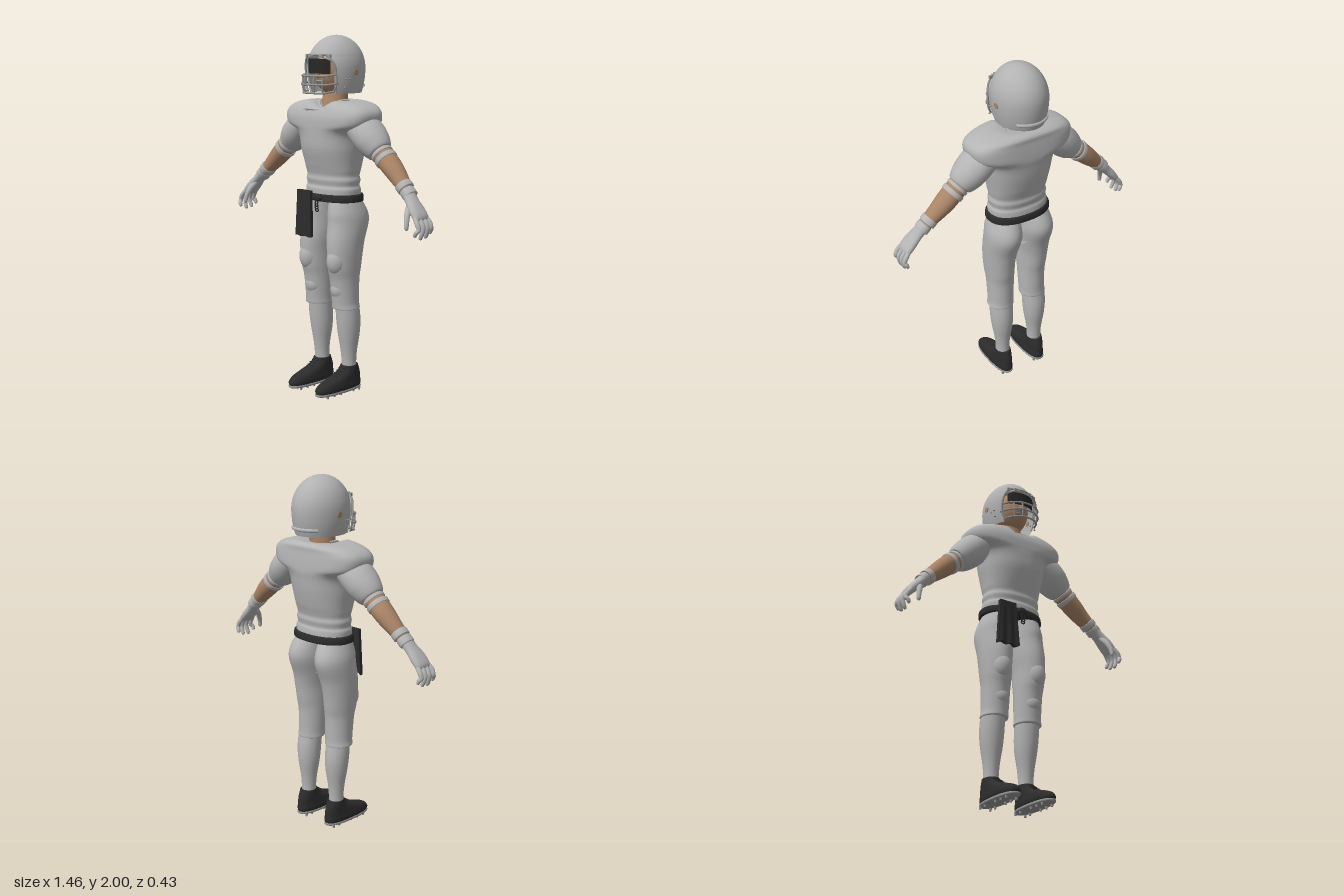
import * as THREE from 'three';

const mat = (name, color, side = THREE.FrontSide) => {
  const m = new THREE.MeshStandardMaterial({ color, side });
  m.name = name;
  return m;
};

// Sections are [x, y, z, radiusA, radiusZ, roundness]; rings face the direction dir, or follow the path
function loft(sections, dir = null, sub = 4, seg = 32) {
  const S = sections.map(s => (s.length < 6 ? [...s, 2] : s));
  const at = i => S[Math.max(0, Math.min(S.length - 1, i))];
  const rows = [];
  for (let i = 0; i < S.length - 1; i++) {
    for (let k = 0; k < sub; k++) {
      const t = k / sub;
      rows.push(at(i).map((b, c) => {
        const a = at(i - 1)[c], d = at(i + 1)[c], e = at(i + 2)[c];
        return b + 0.5 * t * (d - a + t * (2 * a - 5 * b + 4 * d - e + t * (3 * (b - d) + e - a)));
      }));
    }
  }
  rows.push(at(S.length - 1));
  const pos = [], idx = [];
  const V = r => new THREE.Vector3(r[0], r[1], r[2]);
  rows.forEach((r, i) => {
    const T = dir ? new THREE.Vector3(...dir).normalize()
      : V(rows[Math.min(i + 1, rows.length - 1)]).sub(V(rows[Math.max(i - 1, 0)])).normalize();
    const B = new THREE.Vector3(0, 0, 1).addScaledVector(T, -T.z).normalize();
    const A = new THREE.Vector3().crossVectors(T, B);
    for (let j = 0; j < seg; j++) {
      const a = j / seg * Math.PI * 2, c = Math.cos(a), s = Math.sin(a);
      const p = V(r).addScaledVector(A, r[3] * Math.sign(c) * Math.abs(c) ** (2 / r[5]))
        .addScaledVector(B, r[4] * Math.sign(s) * Math.abs(s) ** (2 / r[5]));
      pos.push(p.x, p.y, p.z);
    }
  });
  for (let i = 0; i < rows.length - 1; i++) for (let j = 0; j < seg; j++) {
    const a = i * seg + j, b = i * seg + (j + 1) % seg;
    idx.push(a, a + seg, b, b, a + seg, b + seg);
  }
  // end caps
  [0, rows.length - 1].forEach((row, end) => {
    const base = pos.length / 3;
    pos.push(rows[row][0], rows[row][1], rows[row][2]);
    for (let j = 0; j < seg; j++) for (let c = 0; c < 3; c++) pos.push(pos[(row * seg + j) * 3 + c]);
    for (let j = 0; j < seg; j++) {
      const a = base + 1 + j, b = base + 1 + (j + 1) % seg;
      idx.push(base, ...(end ? [b, a] : [a, b]));
    }
  });
  const g = new THREE.BufferGeometry();
  g.setAttribute('position', new THREE.Float32BufferAttribute(pos, 3));
  g.setIndex(idx);
  g.computeVertexNormals();
  return g;
}

function mirrored(geo) {
  const g = geo.clone().scale(-1, 1, 1);
  const n = g.index ? g.index.count : g.attributes.position.count, idx = [];
  for (let i = 0; i < n; i++) idx.push(g.index ? g.index.getX(i) : i);
  for (let i = 0; i < n; i += 3) [idx[i + 1], idx[i + 2]] = [idx[i + 2], idx[i + 1]];
  g.setIndex(idx);
  return g;
}

const tube = (pts, r, n = 24) => new THREE.TubeGeometry(
  new THREE.CatmullRomCurve3(pts.map(p => (p.isVector3 ? p : new THREE.Vector3(...p)))), n, r, 8);
const ball = (x, y, z, a, b, c) => new THREE.SphereGeometry(1, 28, 20).scale(a, b, c).translate(x, y, z);
const box = (x, y, z, w, h, d) => new THREE.BoxGeometry(w, h, d).translate(x, y, z);
const UP = [0, 1, 0];

export function createModel() {
  const root = new THREE.Group();
  root.name = 'footballPlayer';
  const cloth = mat('lightGrey', 0xb4b4b4), skin = mat('skin', 0xaa8567), black = mat('black', 0x2c2c2c);
  const shell = mat('helmetGrey', 0xb2b2b2, THREE.DoubleSide), metal = mat('barGrey', 0x949494);
  const visorMat = mat('visorBlack', 0x272727, THREE.DoubleSide);
  const add = (name, geo, m) => {
    const mesh = new THREE.Mesh(geo, m);
    mesh.name = name;
    root.add(mesh);
  };
  const pair = (name, geo, m) => {
    add(name + 'Left', geo, m);
    add(name + 'Right', mirrored(geo), m);
  };

  // Jersey with shoulder pads and a dipped neckline
  const jersey = loft([
    [0, 1.12, -.02, .172, .116, 2.3], [0, 1.16, -.018, .174, .115, 2.3], [0, 1.18, -.018, .166, .108, 2.3],
    [0, 1.21, -.018, .171, .114, 2.3], [0, 1.235, -.018, .165, .111, 2.3], [0, 1.265, -.018, .171, .119, 2.3],
    [0, 1.3, -.018, .176, .13, 2.3], [0, 1.38, -.016, .19, .15, 2.3], [0, 1.45, -.018, .2, .157, 2.4],
    [0, 1.485, -.02, .225, .16, 2.6], [0, 1.515, -.02, .285, .16, 3], [0, 1.56, -.02, .305, .157, 3],
    [0, 1.6, -.025, .292, .148, 3], [0, 1.63, -.033, .24, .138, 2.8], [0, 1.647, -.035, .15, .11, 2.5],
    [0, 1.64, -.035, .085, .075, 2]], UP, 4, 64);
  const jp = jersey.attributes.position;
  for (let i = 0; i < jp.count; i++) {
    if (jp.getY(i) < 1.605) continue;
    const k = Math.max(0, 1 - Math.abs(jp.getX(i)) / .09) * THREE.MathUtils.smoothstep(jp.getZ(i), -.02, .06);
    jp.setY(i, jp.getY(i) - .045 * k);
  }
  jersey.computeVertexNormals();
  add('jersey', jersey, cloth);
  add('collar', tube([[-.08, 1.645, -.06], [-.075, 1.643, 0], [-.045, 1.625, .045], [0, 1.603, .062],
    [.045, 1.625, .045], [.075, 1.643, 0], [.08, 1.645, -.06]], .007, 40), cloth);

  // Neck and head
  add('neck', loft([[0, 1.56, -.02, .078, .078], [0, 1.63, -.028, .074, .07], [0, 1.7, -.035, .07, .066],
    [0, 1.78, -.035, .07, .07]], UP), skin);
  add('head', ball(0, 1.8, -.025, .1, .125, .122), skin);
  add('nose', ball(0, 1.79, .1, .014, .022, .016), skin);
  add('mouth', ball(0, 1.752, .085, .03, .006, .012), metal);

  // Helmet shell with a face opening
  const onHelmet = (y, a, grow = 1) => {
    const s = (y > 1.82 ? Math.sqrt(Math.max(0, 1 - ((y - 1.82) / .18) ** 2)) : 1 - .13 * ((1.82 - y) / .135) ** 2) * grow;
    return new THREE.Vector3(.146 * s * Math.sin(a), y, -.041 + .173 * s * Math.cos(a));
  };
  const opening = y => (y > 1.89 ? 0 : .86 * Math.min(1, (1.89 - y) / .04) ** .45);
  const ys = [];
  for (let i = 0; i <= 24; i++) ys.push(1.82 + .18 * Math.cos(i / 24 * Math.PI / 2));
  for (let i = 1; i <= 10; i++) ys.push(1.82 - .0135 * i);
  const hp = [], hi = [], N = 64;
  ys.forEach((y, i) => {
    for (let j = 0; j <= N; j++) {
      const a = opening(y), p = onHelmet(y, a + j / N * (Math.PI * 2 - 2 * a));
      hp.push(p.x, p.y, p.z);
      if (i && j < N) {
        const d = i * (N + 1) + j, u = d - N - 1;
        hi.push(u, d, u + 1, u + 1, d, d + 1);
      }
    }
  });
  const helmet = new THREE.BufferGeometry();
  helmet.setAttribute('position', new THREE.Float32BufferAttribute(hp, 3));
  helmet.setIndex(hi);
  helmet.computeVertexNormals();
  add('helmet', helmet, shell);
  const rim = [1.685, 1.73, 1.78, 1.83, 1.86, 1.878, 1.887].map(y => onHelmet(y, opening(y)));
  add('helmetRim', tube([...rim, ...rim.slice().reverse().map(p => new THREE.Vector3(-p.x, p.y, p.z))], .006, 60), shell);
  const arc = (y, from, to, grow) => Array.from({ length: 13 }, (_, i) => onHelmet(y, from + (to - from) * i / 12, grow));
  add('helmetBackBumper', tube(arc(1.722, Math.PI - .75, Math.PI + .75, 1.005), .01, 40), shell);
  pair('earHole', new THREE.CylinderGeometry(.016, .016, .006, 20).rotateZ(Math.PI / 2).translate(.146, 1.8, -.048), skin);
  for (const [y, z] of [[1.765, .02], [1.765, -.01], [1.72, .03]]) pair('helmetStud', ball(.139, y, z, .006, .005, .005), metal);

  // Visor and face mask
  add('visor', new THREE.CylinderGeometry(.135, .135, .08, 32, 1, true, -.72, 1.44).translate(0, 1.833, -.014), visorMat);
  const bar = (y, w, zb, zf) => tube([[-w, y + .008, zb], [-w * .8, y, zb + (zf - zb) * .6], [-w * .4, y, zf - .006],
    [0, y, zf], [w * .4, y, zf - .006], [w * .8, y, zb + (zf - zb) * .6], [w, y + .008, zb]], .0055, 32);
  [[1.782, .118, .07, .166], [1.735, .122, .06, .17], [1.69, .1, .08, .166]].forEach(b => add('maskBar', bar(...b), metal));
  for (const [x, z] of [[.036, .164], [.078, .138]])
    pair('maskUpright', tube([[x, 1.782, z - .002], [x, 1.735, z + .002], [x * .95, 1.69, z - .004]], .005, 10), metal);
  pair('maskSide', tube([[.1, 1.69, .08], [.118, 1.73, .075], [.12, 1.8, .078], [.105, 1.86, .09], [.07, 1.895, .105]], .0055), metal);
  add('maskBrow', tube(arc(1.893, -.6, .6, 1.02), .0055), metal);
  for (const x of [.05, .088]) pair('maskClip', box(x, 1.888, .135 - x * .45, .018, .016, .012), metal);

  // Belt, buckle, laces and towel
  add('belt', loft([[0, 1.092, -.022, .184, .12, 2.3], [0, 1.098, -.022, .189, .125, 2.3],
    [0, 1.128, -.022, .187, .123, 2.3], [0, 1.134, -.022, .18, .116, 2.3]], UP, 2, 48), black);
  add('buckle', ball(0, 1.113, .104, .033, .022, .014), black);
  for (let i = 0; i < 4; i++)
    add('lace', new THREE.TorusGeometry(.011, .004, 8, 16).scale(1, .7, 1).translate(0, 1.085 - i * .014, .112 - i * .001), black);
  const towel = new THREE.BoxGeometry(.13, .26, .02, 20, 8, 1);
  const tp = towel.attributes.position;
  for (let i = 0; i < tp.count; i++) {
    const x = tp.getX(i), k = .5 - tp.getY(i) / .26;
    tp.setXYZ(i, x * (.8 + .25 * k) - .101, tp.getY(i) + 1.015 + .004 * k * Math.sin(x * 110),
      tp.getZ(i) + .106 + .006 * k + .005 * k * Math.sin(x * 120));
  }
  towel.computeVertexNormals();
  add('towel', towel, black);

  // Trousers
  add('hips', loft([[0, 1.125, -.022, .178, .113, 2.2], [0, 1.06, -.026, .187, .122, 2.2], [0, 1, -.028, .188, .12, 2.2],
    [0, .95, -.025, .15, .1], [0, .91, -.02, .08, .075], [0, .885, -.02, .02, .03]], UP, 4, 48), cloth);
  pair('trouserLeg', loft([[.109, .488, -.012, .073, .074], [.109, .492, -.012, .077, .079], [.107, .52, -.01, .074, .079],
    [.106, .58, -.007, .075, .083], [.106, .66, -.003, .077, .09], [.108, .72, 0, .081, .103], [.11, .8, -.002, .085, .112],
    [.107, .88, -.011, .092, .12], [.103, .97, -.034, .097, .13], [.1, 1.03, -.033, .093, .127],
    [.09, 1.1, -.022, .08, .1]], UP), cloth);
  pair('kneePad', ball(.104, .6, .03, .056, .062, .054), cloth);
  pair('thighPad', ball(.112, .765, .055, .06, .085, .065), cloth);
  pair('sock', loft([[.111, .11, -.035, .042, .042], [.111, .18, -.034, .041, .043], [.111, .25, -.033, .047, .05],
    [.111, .34, -.032, .061, .064], [.112, .42, -.028, .067, .07], [.111, .5, -.02, .067, .068]], UP), cloth);

  // Shoes with soles, studs and laces
  pair('shoe', loft([[.111, .024, .05, .048, .16, 2.5], [.111, .045, .05, .053, .165, 2.5], [.111, .07, .04, .051, .152, 2.4],
    [.111, .09, .014, .049, .125, 2.3], [.111, .112, -.018, .047, .088, 2.2], [.111, .135, -.033, .046, .065],
    [.111, .155, -.036, .044, .054]], UP), black);
  pair('sole', loft([[.111, .014, .05, .05, .161, 2.5], [.111, .02, .05, .054, .166, 2.5], [.111, .028, .05, .052, .164, 2.5]], UP, 2), metal);
  for (const z of [-.085, -.04, .06, .11, .16]) for (const x of [.08, .142])
    pair('stud', new THREE.CylinderGeometry(.009, .006, .018, 10).translate(x, .009, z), metal);
  for (let i = 0; i < 4; i++) pair('shoeLace', box(.111, .142 - i * .012, .022 + i * .019, .042, .006, .008), black);

  // Sleeves, bare arms and bands
  const along = [.76, -.65, 0];
  pair('sleeve', loft([[.17, 1.545, -.025, .075, .1], [.25, 1.485, -.024, .089, .106], [.3, 1.44, -.022, .088, .101],
    [.335, 1.408, -.021, .08, .086], [.355, 1.39, -.02, .07, .074], [.362, 1.384, -.02, .063, .066]], along), cloth);
  pair('arm', loft([[.33, 1.41, -.02, .054, .058], [.4, 1.352, -.02, .056, .061], [.45, 1.308, -.02, .054, .06],
    [.5, 1.262, -.016, .047, .052], [.55, 1.215, -.008, .037, .044], [.59, 1.175, 0, .03, .04]], along), skin);
  const band = (x, y, z, a, b, w) => loft([[x, y, z, a - .003, b - .003], [x + .1 * w, y - .09 * w, z, a, b],
    [x + .9 * w, y - .81 * w, z, a, b], [x + w, y - .9 * w, z, a - .003, b - .003]], along, 2);
  pair('elbowBand', band(.366, 1.381, -.02, .06, .065, .014), cloth);
  pair('forearmBand', band(.392, 1.359, -.02, .061, .066, .02), cloth);
  pair('wristBand', band(.535, 1.229, -.008, .044, .05, .026), cloth);
  pair('gloveCuff', band(.566, 1.2, -.004, .038, .046, .03), cloth);

  // Gloved hands with curled fingers
  pair('palm', loft([[.585, 1.182, 0, .031, .041], [.615, 1.15, .006, .027, .043], [.65, 1.112, .012, .025, .052, 2.4],
    [.682, 1.075, .015, .021, .053, 2.5], [.692, 1.058, .015, .012, .046, 2.5]]), cloth);
  [[.053, .078, .98], [.028, .036, .962], [.003, -.004, .966], [-.022, -.038, .985]].forEach(([z0, z1, tip]) => {
    const mid = (z0 + z1) / 2;
    pair('finger', loft([[.672, 1.085, z0, .012, .012], [.704, 1.048, mid, .0135, .0135], [.716, 1.018, mid, .0125, .0125],
      [.708, tip + .022, z1, .0115, .0115], [.7, tip + .004, z1, .009, .009], [.698, tip, z1, .002, .002]], null, 3, 14), cloth);
  });
  pair('thumb', loft([[.615, 1.135, .025, .016, .016], [.632, 1.095, .06, .017, .016], [.645, 1.05, .08, .013, .013],
    [.648, 1.018, .085, .011, .011], [.648, 1.008, .085, .003, .003]], null, 3, 14), cloth);

  return root;
}
